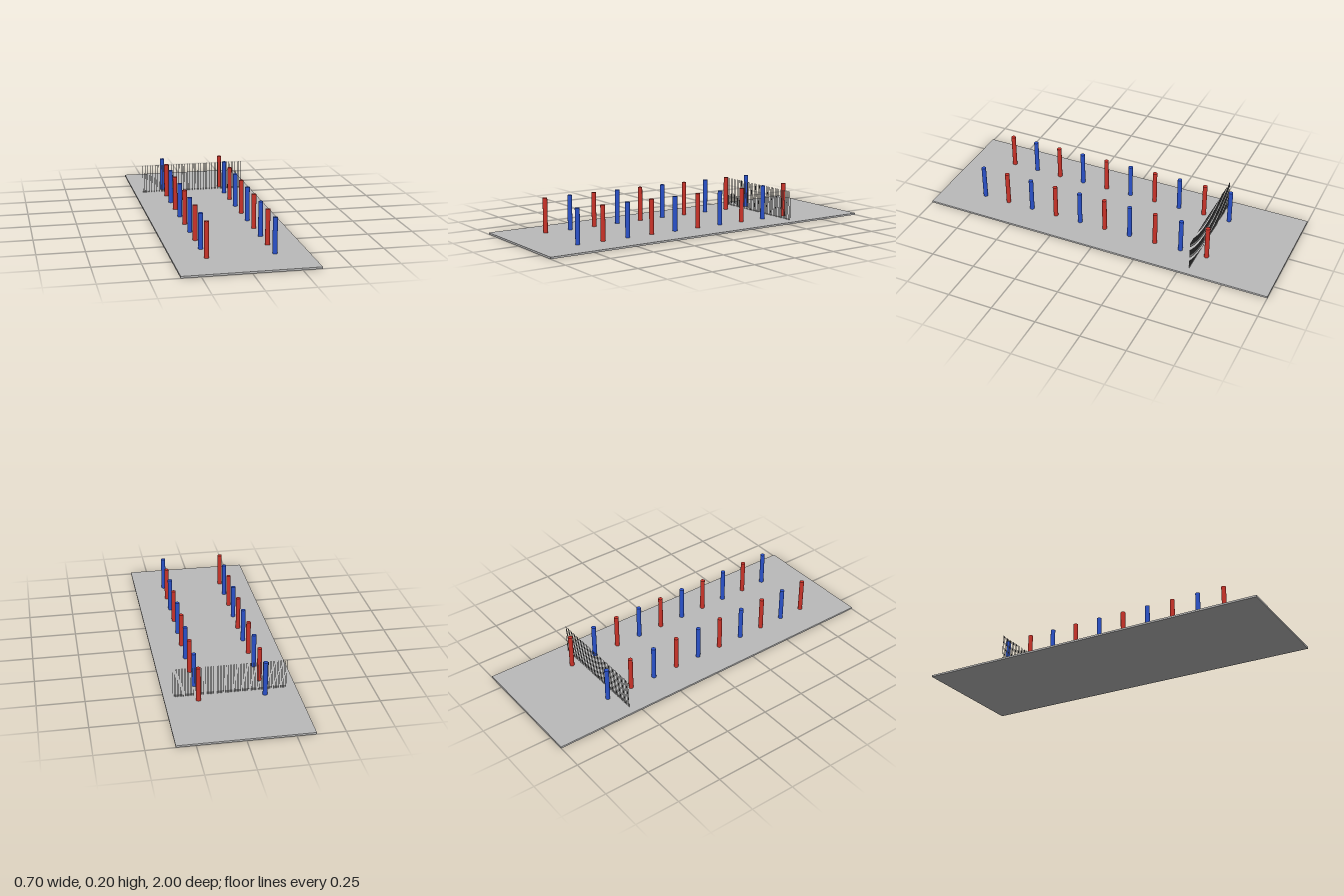
import * as THREE from 'three';

function material(name, color) {
  const m = new THREE.MeshStandardMaterial({ color });
  m.name = name;
  return m;
}

export function createModel() {
  const model = new THREE.Group();
  model.name = 'poleCourse';

  const grey = material('baseGrey', 0xbababa);
  const red = material('poleRed', 0xcc3329);
  const blue = material('poleBlue', 0x2a52cc);
  const wire = material('fenceGrey', 0x808080);

  const add = (name, geometry, mat, x, y, z, parent = model) => {
    const mesh = new THREE.Mesh(geometry, mat);
    mesh.name = name;
    mesh.position.set(x, y, z);
    parent.add(mesh);
  };

  // Ground slab
  const slab = 0.01;
  add('base', new THREE.BoxGeometry(0.7, slab, 2), grey, 0, slab / 2, 0);

  // Two rows of poles, colours alternating along and across
  const poles = new THREE.Group();
  poles.name = 'poles';
  model.add(poles);
  const poleHeight = 0.19;
  const poleGeometry = new THREE.CylinderGeometry(0.0125, 0.0125, poleHeight, 24);
  for (let i = 0; i < 10; i++) {
    const z = 0.75 - i * 0.15;
    const even = i % 2 === 0;
    add('rightPole', poleGeometry, even ? red : blue, -0.175, slab + poleHeight / 2, z, poles);
    add('leftPole', poleGeometry, even ? blue : red, 0.175, slab + poleHeight / 2, z, poles);
  }

  // Fence of fine upright wires across the back
  const fence = new THREE.Group();
  fence.name = 'fence';
  model.add(fence);
  const wireHeight = 0.164;
  const wireGeometry = new THREE.CylinderGeometry(0.001, 0.001, wireHeight, 8);
  for (let i = 0; i <= 80; i++) {
    add('fenceWire', wireGeometry, wire, -0.3 + i * 0.0075, slab + wireHeight / 2, -0.55, fence);
  }

  return model;
}
